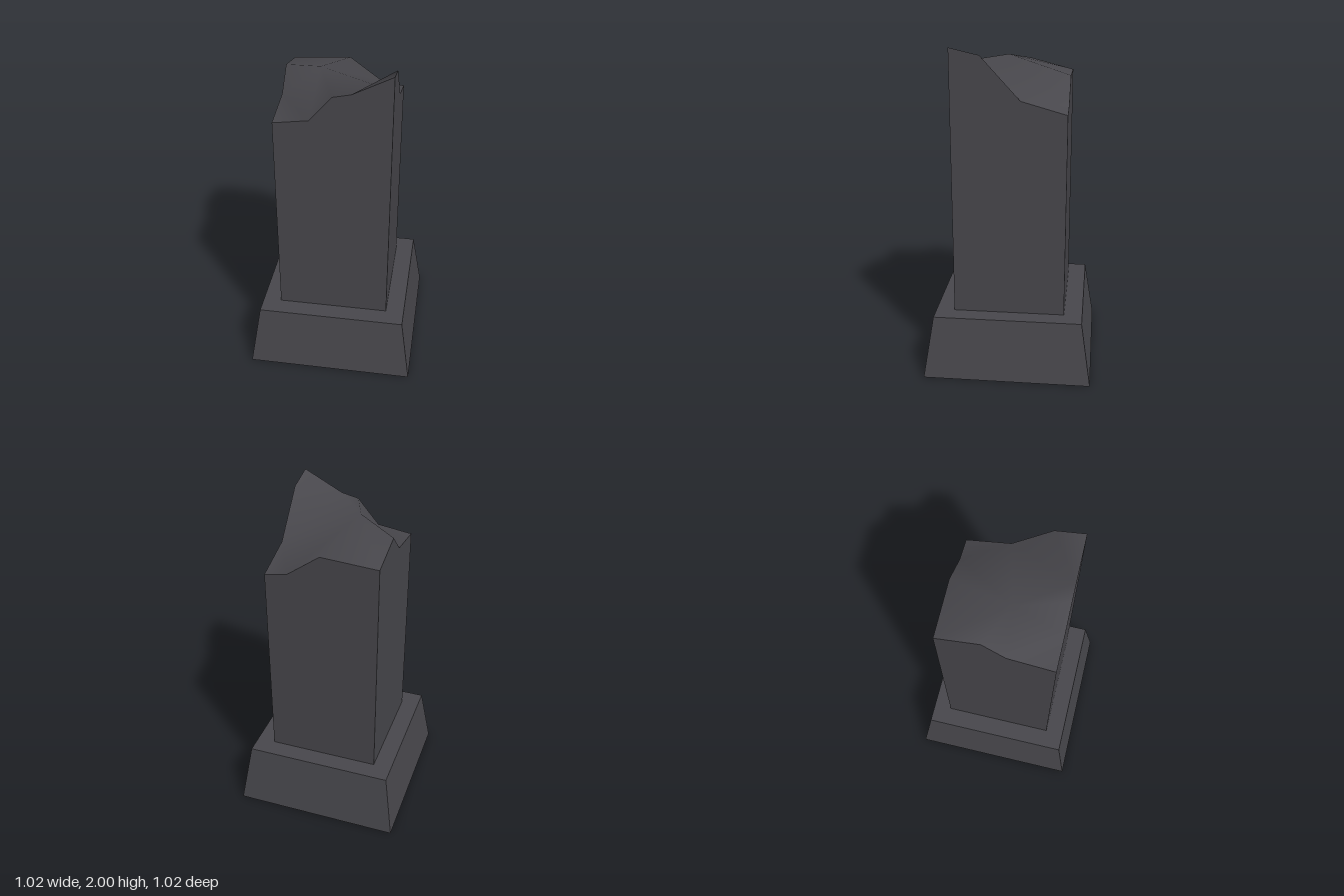
import * as THREE from 'three';

const BASE_BOTTOM = 0.51, BASE_TOP = 0.45, LEDGE_Y = 0.385, H = 0.338;

// Broken rim of the pillar, counterclockwise from the front right-hand corner: x, y, z
const RIM = [
  [-H, 1.675, H], [-0.13, 1.705, H], [0, 1.857, H], [0.105, 1.88, H],
  [H, 2, H], [H, 1.96, 0.163], [H, 1.705, -0.07],
  [H, 1.63, -H], [0.2, 1.655, -H], [0.005, 1.797, -H],
  [-H, 1.775, -H], [-H, 1.843, -0.075], [-H, 1.716, 0.06],
];
const PEAK = [-0.11, 1.9, 0.045];

function surface(points, index) {
  const g = new THREE.BufferGeometry();
  g.setAttribute('position', new THREE.Float32BufferAttribute(points.flat(), 3));
  if (index) g.setIndex(index);
  g.computeVertexNormals();
  return g;
}

function square(half, PathType) {
  return new PathType([[-1, -1], [1, -1], [1, 1], [-1, 1]].map(([x, y]) => new THREE.Vector2(x * half, y * half)));
}

export function createModel() {
  const group = new THREE.Group();
  const stone = new THREE.MeshStandardMaterial({ color: 0x48474c, side: THREE.DoubleSide });
  stone.name = 'darkStone';
  const add = (name, geometry) => {
    const mesh = new THREE.Mesh(geometry, stone);
    mesh.name = name;
    group.add(mesh);
  };

  // Tapered hollow plinth, open underneath
  let walls = new THREE.CylinderGeometry(BASE_TOP * Math.SQRT2, BASE_BOTTOM * Math.SQRT2, LEDGE_Y, 4, 1, true);
  walls = walls.rotateY(Math.PI / 4).translate(0, LEDGE_Y / 2, 0).toNonIndexed();
  walls.computeVertexNormals();
  add('plinthWalls', walls);

  // Flat ledge around the foot of the pillar
  const ledge = square(BASE_TOP, THREE.Shape);
  ledge.holes.push(square(H, THREE.Path));
  add('plinthLedge', new THREE.ShapeGeometry(ledge).rotateX(-Math.PI / 2).translate(0, LEDGE_Y, 0));

  // Straight pillar sides rising to the broken rim
  const sides = [];
  RIM.forEach((a, i) => {
    const b = RIM[(i + 1) % RIM.length];
    const a0 = [a[0], LEDGE_Y, a[2]], b0 = [b[0], LEDGE_Y, b[2]];
    sides.push(a0, b0, b, a0, b, a);
  });
  add('pillarSides', surface(sides));

  // Smoothly shaded broken top: corner pieces, then a fan around the inner peak
  const index = [12, 0, 1, 3, 4, 5, 3, 5, 6, 6, 7, 8];
  const fan = [1, 2, 3, 6, 8, 9, 10, 11, 12];
  fan.forEach((a, i) => index.push(RIM.length, a, fan[(i + 1) % fan.length]));
  add('brokenTop', surface([...RIM, PEAK], index));

  return group;
}
